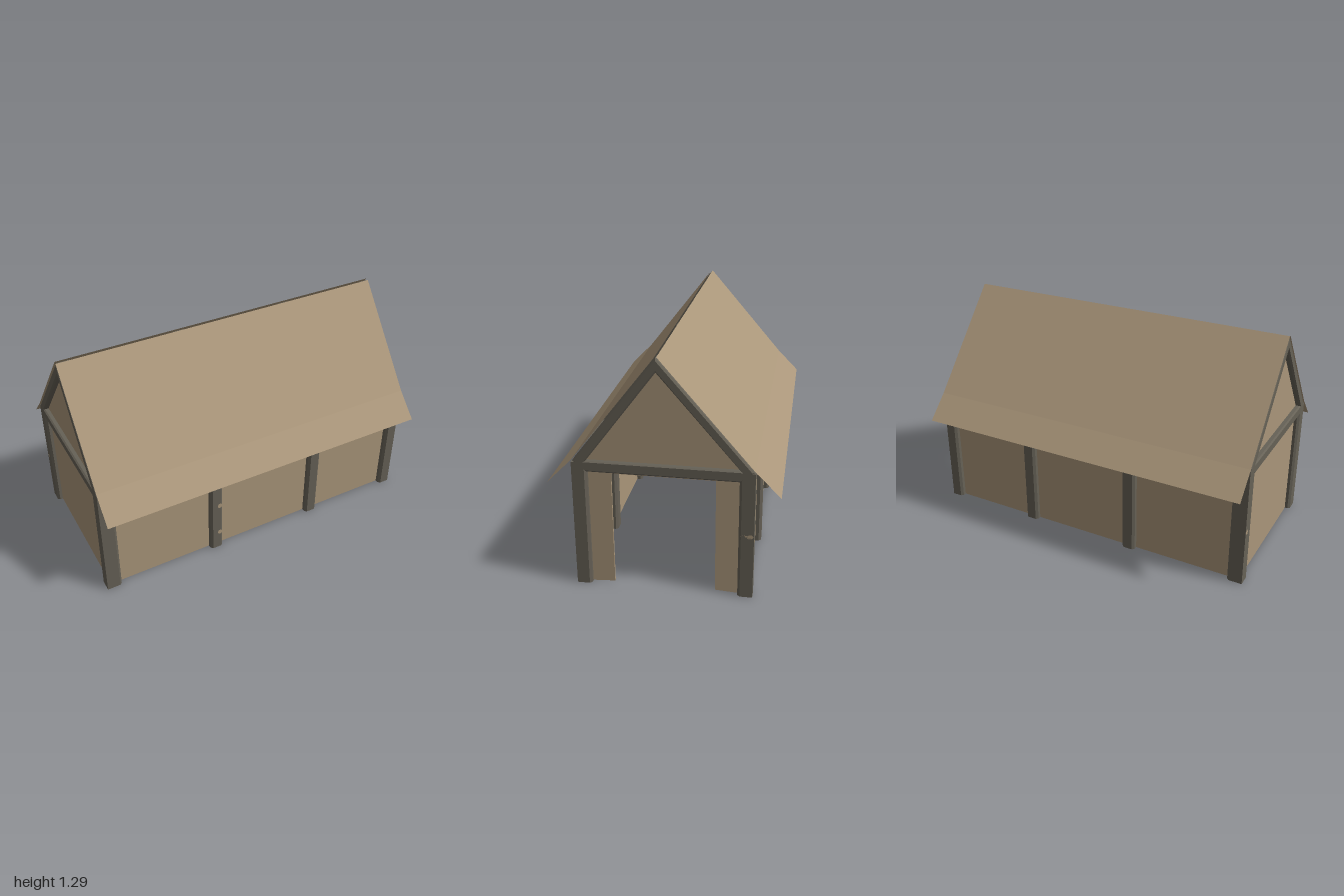
import * as THREE from 'three';

export function createModel() {
  const model = new THREE.Group();
  const timber = new THREE.MeshStandardMaterial({ color: 0x666156 });
  timber.name = 'grey timber';
  const clay = new THREE.MeshStandardMaterial({ color: 0xaa967a, side: THREE.DoubleSide });
  clay.name = 'tan cladding';

  const add = (name, geometry, material) => {
    const mesh = new THREE.Mesh(geometry, material);
    mesh.name = name;
    model.add(mesh);
    return mesh;
  };
  const shapeOf = (pts) => new THREE.Shape(pts.map(([a, b]) => new THREE.Vector2(a, b)));
  const box = (name, material, x0, x1, y0, y1, z0, z1) => {
    const g = new THREE.BoxGeometry(x1 - x0, y1 - y0, z1 - z0);
    g.translate((x0 + x1) / 2, (y0 + y1) / 2, (z0 + z1) / 2);
    return add(name, g, material);
  };
  // Extrudes a (z, y) outline along x, ending at x = x1
  const crossSection = (shape, x1, depth, bevel = 0) => {
    const g = new THREE.ExtrudeGeometry(shape, {
      depth: depth - 2 * bevel, bevelEnabled: bevel > 0, bevelSegments: 1,
      bevelSize: bevel, bevelThickness: bevel, bevelOffset: -bevel,
    });
    g.rotateY(-Math.PI / 2);
    g.translate(x1 - bevel, 0, 0);
    return g;
  };

  // Four timber frames: [x start, x end, outer end direction]
  const frames = [[-1, -0.91, -1], [-0.33, -0.25, 0], [0.345, 0.425, 0], [0.93, 1, 1]];
  const RIDGE = 0.025;

  // Posts with chamfered edges; the outward corner of an end post stays square
  const post = (x0, x1, end, side) => {
    const c = 0.013, za = 0.39, zb = 0.47;
    const left = end === -1 ? [[x0, zb]] : [[x0 + c, zb], [x0, zb - c]];
    const right = end === 1 ? [[x1, zb]] : [[x1, zb - c], [x1 - c, zb]];
    const pts = [[x0 + c, za], [x1 - c, za], [x1, za + c], ...right, ...left, [x0, za + c]];
    const g = new THREE.ExtrudeGeometry(shapeOf(pts.map(([x, z]) => [x, -side * z])), {
      depth: 0.714, bevelEnabled: false,
    });
    g.rotateX(-Math.PI / 2);
    add('post', g, timber);
  };

  // Rafter pair joined by a tie beam, with a triangular opening
  const truss = shapeOf([[-0.465, 0.718], [-0.40, 0.662], [0.40, 0.662], [0.465, 0.718], [RIDGE, 1.286]]);
  truss.holes.push(new THREE.Path([[-0.395, 0.722], [RIDGE, 1.212], [0.395, 0.722]]
    .map(([a, b]) => new THREE.Vector2(a, b))));
  for (const [x0, x1, end] of frames) {
    post(x0, x1, end, 1);
    post(x0, x1, end, -1);
    add('rafterFrame', crossSection(truss, x1, x1 - x0, 0.009), timber);
  }

  // Wall plates and thin side walls
  for (const s of [-1, 1]) {
    const span = (a, b) => (s > 0 ? [a, b] : [-b, -a]);
    box('wallPlate', timber, -0.99, 0.99, 0.655, 0.712, ...span(0.4, 0.462));
    box('sideWall', clay, -0.97, 0.97, 0, 0.69, ...span(0.425, 0.437));
  }

  // End walls: solid at one end, with a doorway at the other
  const apex = [[0.43, 0.72], [RIDGE, 1.24], [-0.43, 0.72]];
  const solid = shapeOf([[-0.43, 0], [0.43, 0], ...apex]);
  const doorway = shapeOf([[-0.43, 0], [-0.27, 0.01], [-0.27, 0.65], [0.27, 0.65],
    [0.27, 0.01], [0.43, 0], ...apex]);
  add('backEndWall', crossSection(solid, -0.958, 0.012), clay);
  add('doorEndWall', crossSection(doorway, 0.972, 0.012), clay);

  // Roof: one sheet per slope, flared at the eaves, with a narrow ridge gap
  const slope = (name, profile) => {
    const pos = [];
    for (let i = 0; i < profile.length - 1; i++) {
      const [z0, y0] = profile[i], [z1, y1] = profile[i + 1];
      const a = [-1, y0, z0], b = [-1, y1, z1], c = [1, y1, z1], d = [1, y0, z0];
      pos.push(...a, ...b, ...c, ...a, ...c, ...d);
    }
    const g = new THREE.BufferGeometry();
    g.setAttribute('position', new THREE.Float32BufferAttribute(pos, 3));
    g.computeVertexNormals();
    add(name, g, clay);
  };
  slope('frontRoof', [[0.031, 1.287], [0.468, 0.726], [0.6, 0.592]]);
  slope('backRoof', [[-0.6, 0.592], [-0.468, 0.726], [0.018, 1.292]]);

  // Small clay smears on the posts
  const smear = (x, y, z, turn, w) => {
    const g = new THREE.CircleGeometry(1, 8);
    g.scale(w, 0.017, 1);
    g.rotateY(turn);
    g.translate(x, y, z);
    add('claySmear', g, clay);
  };
  smear(-0.272, 0.33, 0.472, 0, 0.015);
  smear(-0.272, 0.12, 0.472, 0, 0.015);
  smear(1.0, 0.36, -0.435, Math.PI / 2, 0.033);
  smear(-1.0, 0.33, -0.45, -Math.PI / 2, 0.017);

  return model;
}
